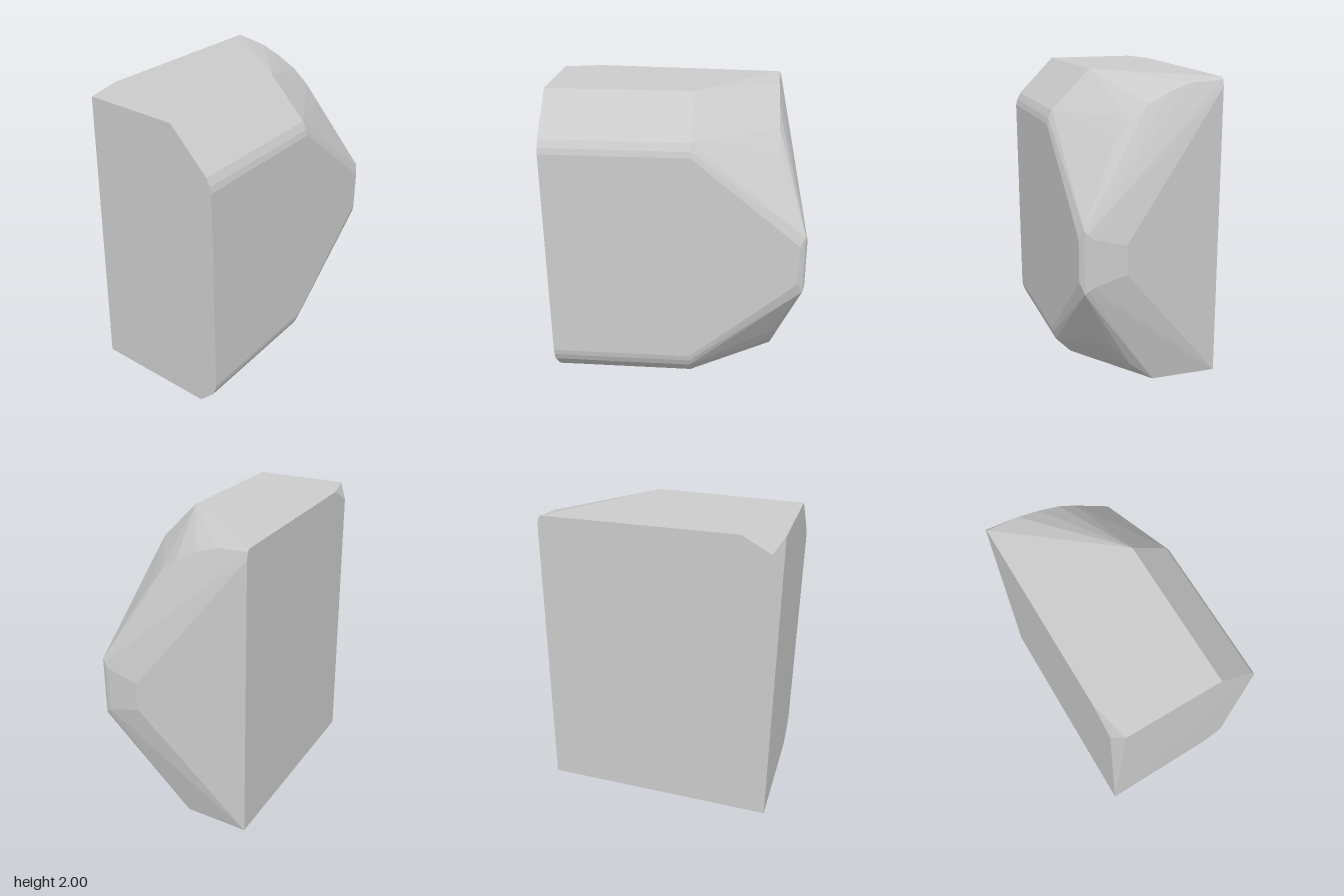
import * as THREE from 'three';
import { ConvexGeometry } from 'three/addons/geometries/ConvexGeometry.js';

export function createModel() {
  const group = new THREE.Group();
  const points = [];
  const add = (...rows) => rows.forEach(([x, y, z]) => points.push(new THREE.Vector3(x, y, z)));

  // Chamfered front profile as [y, z], run from the flat left end to where the cut corner begins
  const profile = [
    [0, 0.355], [0.11, 0.46], [0.16, 0.482], [0.2, 0.49],
    [1.65, 0.49], [1.69, 0.48], [1.74, 0.455], [2, 0.2],
  ];
  for (const [y, z] of profile) {
    add([-0.853 - 0.012 * Math.min(y / 1.2, 1), y, z], [0.1, y, z]);
  }

  // Flat back, with a small clipped corner at the upper end
  add([-0.865, 0, -0.49], [-0.865, 2, -0.43], [-0.8, 1.9, -0.49], [-0.61, 2, -0.49]);
  add([0.685, 0, -0.49], [0.685, 1.92, -0.49], [0.675, 1.965, -0.49], [0.66, 1.98, -0.49]);

  // Rounded nose at the right, mirrored about its middle height
  for (const s of [-1, 1]) {
    add([0.81, 0.935 + s * 0.135, 0.49], [0.845, 0.93 + s * 0.2, 0.465],
      [0.855, 0.93 + s * 0.18, 0.445], [0.86, 0.925 + s * 0.155, 0.42], [0.86, 0.925 + s * 0.095, 0.2]);
  }

  // Curved shoulder ridge above the nose
  add([0.66, 1.95, -0.28], [0.66, 1.9, -0.14], [0.66, 1.83, 0], [0.66, 1.74, 0.11], [0.66, 1.62, 0.21]);

  // Curved ridge below the nose
  add([0.66, 0.28, 0.24], [0.665, 0.13, 0.11], [0.675, 0, -0.05]);

  const block = new THREE.Mesh(
    new ConvexGeometry(points),
    new THREE.MeshStandardMaterial({ color: 0xcccccc, flatShading: true }),
  );
  block.name = 'chamferedBlock';
  group.add(block);
  return group;
}
